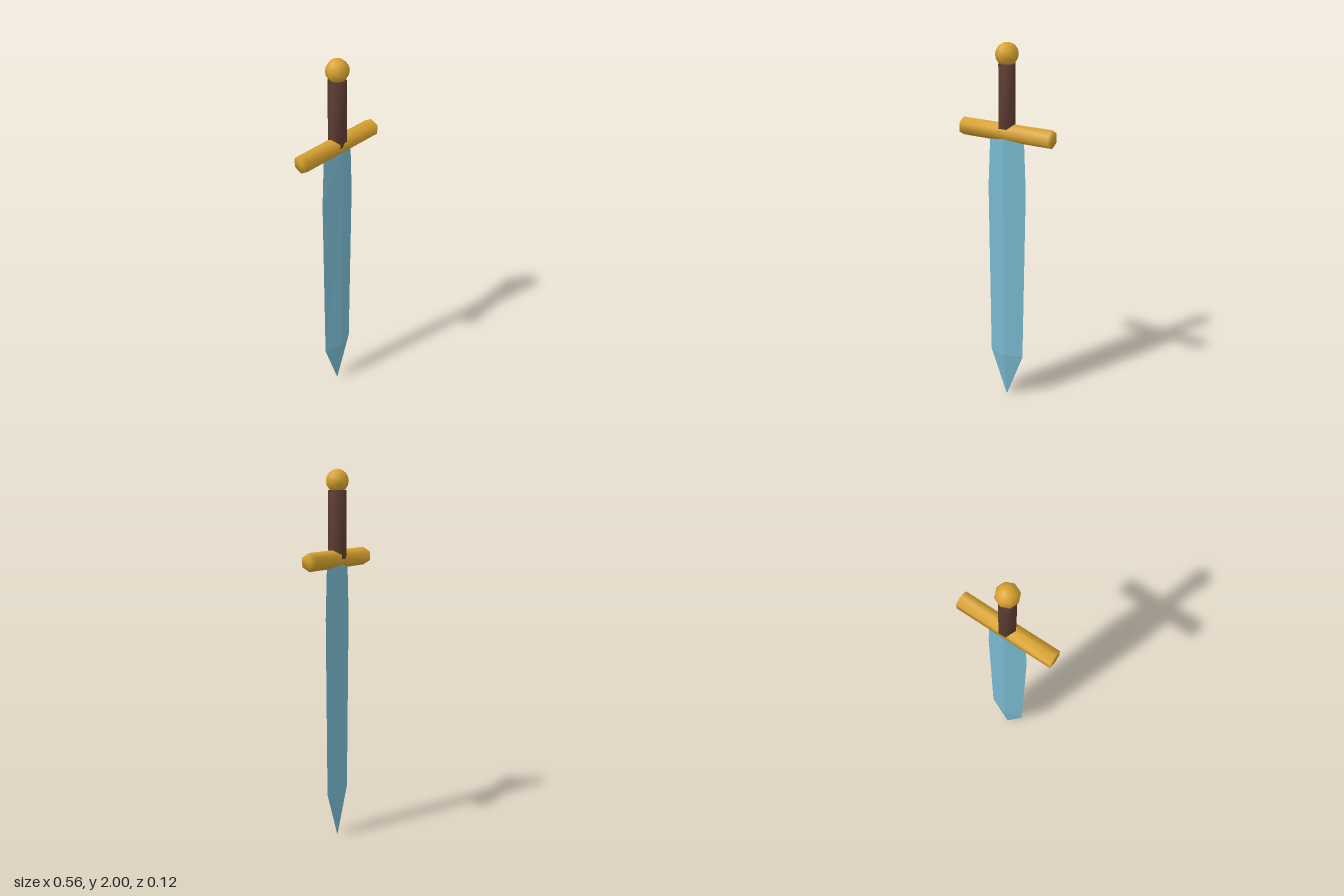
import * as THREE from 'three';
import { mergeVertices } from 'three/addons/utils/BufferGeometryUtils.js';

const paint = (name, color) => {
  const m = new THREE.MeshStandardMaterial({ color });
  m.name = name;
  return m;
};

// Weld a primitive so its shading runs smoothly over every edge
function smooth(geometry) {
  geometry.deleteAttribute('uv');
  geometry.deleteAttribute('normal');
  const welded = mergeVertices(geometry, 1e-4);
  welded.computeVertexNormals();
  return welded;
}

// Six-sided bar standing on y, with corners on +x and -x
const hexBar = (radius, length) =>
  new THREE.CylinderGeometry(radius, radius, length, 6, 1, false, Math.PI / 6);

// Loft diamond cross-sections [y, half width, half depth] from the tip upward
function diamondLoft(sections) {
  const pos = [];
  const index = [];
  for (const [y, w, d] of sections) pos.push(w, y, 0, 0, y, d, -w, y, 0, 0, y, -d);
  for (let s = 0; s < sections.length - 1; s++) {
    for (let i = 0; i < 4; i++) {
      const a = s * 4 + i, b = s * 4 + (i + 1) % 4;
      index.push(a, a + 4, b, b, a + 4, b + 4);
    }
  }
  const t = (sections.length - 1) * 4;
  index.push(t, t + 3, t + 2, t, t + 2, t + 1); // top cap
  index.push(0, 1, 2, 0, 2, 3); // blunt tip
  const g = new THREE.BufferGeometry();
  g.setAttribute('position', new THREE.Float32BufferAttribute(pos, 3));
  g.setIndex(index);
  const flat = g.toNonIndexed();
  flat.computeVertexNormals();
  return flat;
}

export function createModel() {
  const sword = new THREE.Group();
  sword.name = 'sword';
  const steel = paint('blue steel', 0x78b8ce);
  const gold = paint('gold', 0xd9a32f);
  const leather = paint('brown leather', 0x5c3d30);

  const add = (name, geometry, material, y = 0) => {
    const mesh = new THREE.Mesh(geometry, material);
    mesh.name = name;
    mesh.position.y = y;
    sword.add(mesh);
  };

  // Blade, point down
  add('blade', diamondLoft([
    [0, 0.003, 0.002],
    [0.25, 0.105, 0.034],
    [1.22, 0.12, 0.035],
    [1.52, 0.106, 0.035],
  ]), steel);

  // Crossguard, grip and pommel
  add('crossguard', smooth(hexBar(0.049, 0.558).rotateZ(Math.PI / 2)), gold, 1.529);
  add('grip', smooth(hexBar(0.049, 0.36)), leather, 1.71);
  add('pommel', smooth(new THREE.SphereGeometry(0.062, 8, 8)), gold, 1.938);

  return sword;
}
